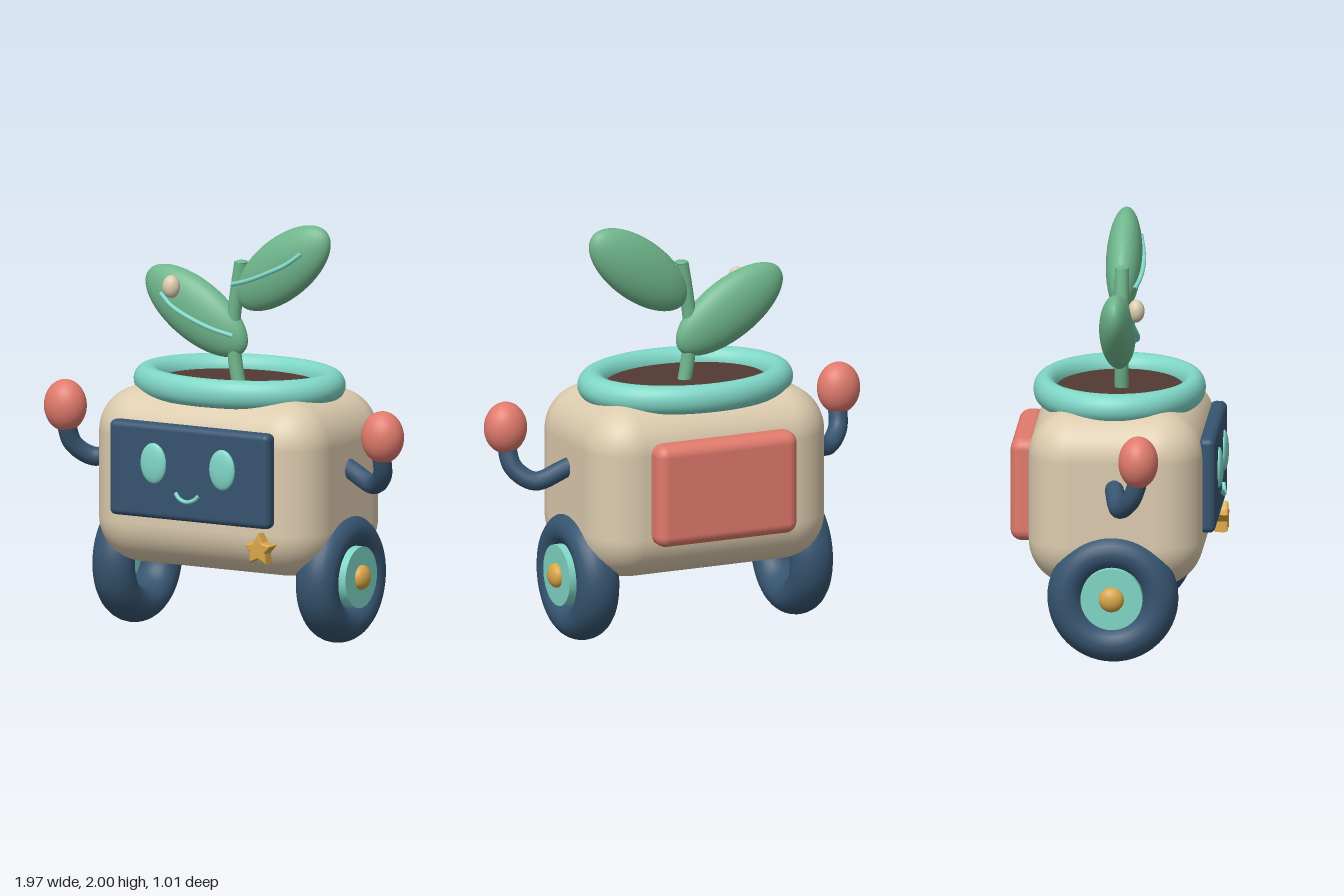
import * as THREE from 'three';
import { RoundedBoxGeometry } from 'three/addons/geometries/RoundedBoxGeometry.js';

const paint = (name, color) => Object.assign(new THREE.MeshStandardMaterial({ color }), { name });

export function createModel() {
  const cream = paint('cream', 0xdccbae);
  const navy = paint('navy', 0x365470);
  const teal = paint('teal', 0x7fd6c6);
  const coral = paint('coral', 0xe07a6c);
  const green = paint('leaf green', 0x6fb68c);
  const gold = paint('gold', 0xd9a648);
  const soilBrown = paint('soil brown', 0x533a33);

  const model = new THREE.Group();
  model.name = 'planterRobot';

  const add = (name, geometry, material, x = 0, y = 0, z = 0, parent = model) => {
    const mesh = new THREE.Mesh(geometry, material);
    mesh.name = name;
    mesh.position.set(x, y, z);
    parent.add(mesh);
    return mesh;
  };
  const ellipsoid = (rx, ry, rz) => new THREE.SphereGeometry(1, 40, 28).scale(rx, ry, rz);
  const tube = (points, radius) => new THREE.TubeGeometry(
    new THREE.CatmullRomCurve3(points.map(p => new THREE.Vector3(...p))), 40, radius, 14);

  // Body, face screen and backpack
  add('body', new RoundedBoxGeometry(1.24, 0.85, 0.835, 10, 0.22), cream, 0, 0.765, 0);
  add('screen', new RoundedBoxGeometry(0.885, 0.46, 0.08, 5, 0.03), navy, 0, 0.83, 0.435);
  add('backpack', new RoundedBoxGeometry(0.74, 0.5, 0.14, 6, 0.055), coral, 0, 0.78, -0.44);

  // Face
  for (const side of [-1, 1]) {
    add(side > 0 ? 'leftEye' : 'rightEye', ellipsoid(0.07, 0.098, 0.022), teal, side * 0.19, 0.87, 0.477);
  }
  add('smile', tube([[-0.065, 0.737, 0.482], [-0.04, 0.712, 0.487], [0, 0.7, 0.49],
    [0.04, 0.712, 0.487], [0.065, 0.737, 0.482]], 0.01), teal);

  // Star badge
  const star = new THREE.Shape();
  for (let i = 0; i < 10; i++) {
    const r = i % 2 ? 0.034 : 0.066;
    const a = Math.PI / 2 + i * Math.PI / 5;
    star[i ? 'lineTo' : 'moveTo'](r * Math.cos(a), r * Math.sin(a));
  }
  star.closePath();
  add('starBadge', new THREE.ExtrudeGeometry(star, {
    depth: 0.04, bevelEnabled: true, bevelSize: 0.01, bevelThickness: 0.014, bevelSegments: 3,
  }), gold, 0.387, 0.5, 0.43);

  // Oval pot rim and soil
  const rim = add('potRim', new THREE.TorusGeometry(0.465, 0.07, 24, 80).rotateX(Math.PI / 2),
    teal, 0, 1.21, -0.01);
  rim.scale.z = 0.88 * 0.872;
  const soil = add('soil', new THREE.CylinderGeometry(0.43, 0.43, 0.06, 64), soilBrown, 0, 1.185, -0.01);
  soil.scale.z = rim.scale.z;

  // Wheels and arms, mirrored
  for (const side of [-1, 1]) {
    const label = side > 0 ? 'left' : 'right';

    const wheel = new THREE.Group();
    wheel.name = label + 'Wheel';
    wheel.position.set(side * 0.563, 0.313, -0.005);
    model.add(wheel);
    add('tire', new THREE.TorusGeometry(0.223, 0.09, 24, 56).rotateY(Math.PI / 2).scale(1.17, 1, 1),
      navy, 0, 0, 0, wheel);
    add('hub', new THREE.CylinderGeometry(0.148, 0.148, 0.05, 48).rotateZ(Math.PI / 2),
      teal, side * 0.088, 0.01, 0, wheel);
    add('hubCap', ellipsoid(0.042, 0.06, 0.06), gold, side * 0.113, 0.01, 0, wheel);

    const arm = new THREE.Group();
    arm.name = label + 'Arm';
    model.add(arm);
    add('armTube', tube([[0.56, 0.87, 0], [0.64, 0.835, 0.01], [0.77, 0.787, 0.04],
      [0.855, 0.85, 0.1], [0.872, 0.95, 0.135], [0.875, 1.02, 0.14]]
      .map(([x, y, z]) => [side * x, y, z]), 0.046), navy, 0, 0, 0, arm);
    add('hand', ellipsoid(0.105, 0.125, 0.095), coral, side * 0.878, 1.04, 0.137, arm);
  }

  // Sprout: stem with an open-ended look closed by a cap
  const stemPath = [[0.005, 1.18, 0], [-0.02, 1.32, 0], [-0.03, 1.47, 0], [-0.01, 1.64, 0], [0.015, 1.79, 0]];
  add('stem', tube(stemPath, 0.034), green);
  add('stemTip', ellipsoid(0.034, 0.01, 0.034), green, 0.015, 1.79, 0);

  // Leaves
  const leaf = (name, length, width, x, y, degrees) => {
    add(name, ellipsoid(length, width, 0.086), green, x, y, -0.005).rotation.z = degrees * Math.PI / 180;
  };
  leaf('upperLeaf', 0.306, 0.146, 0.245, 1.78, 38);
  leaf('lowerLeaf', 0.316, 0.15, -0.235, 1.533, -32);

  // Leaf veins
  add('upperVein', tube([[0, 1.69, 0.06], [0.1, 1.72, 0.08], [0.22, 1.77, 0.09],
    [0.31, 1.815, 0.082], [0.385, 1.872, 0.066]], 0.011), teal);
  add('lowerVein', tube([[-0.39, 1.615, 0.072], [-0.32, 1.56, 0.085], [-0.2, 1.505, 0.09],
    [-0.1, 1.468, 0.08], [0, 1.44, 0.058]], 0.011), teal);

  // Small bead resting on the lower leaf
  add('leafBead', ellipsoid(0.043, 0.055, 0.04), cream, -0.32, 1.655, 0.09);

  return model;
}
